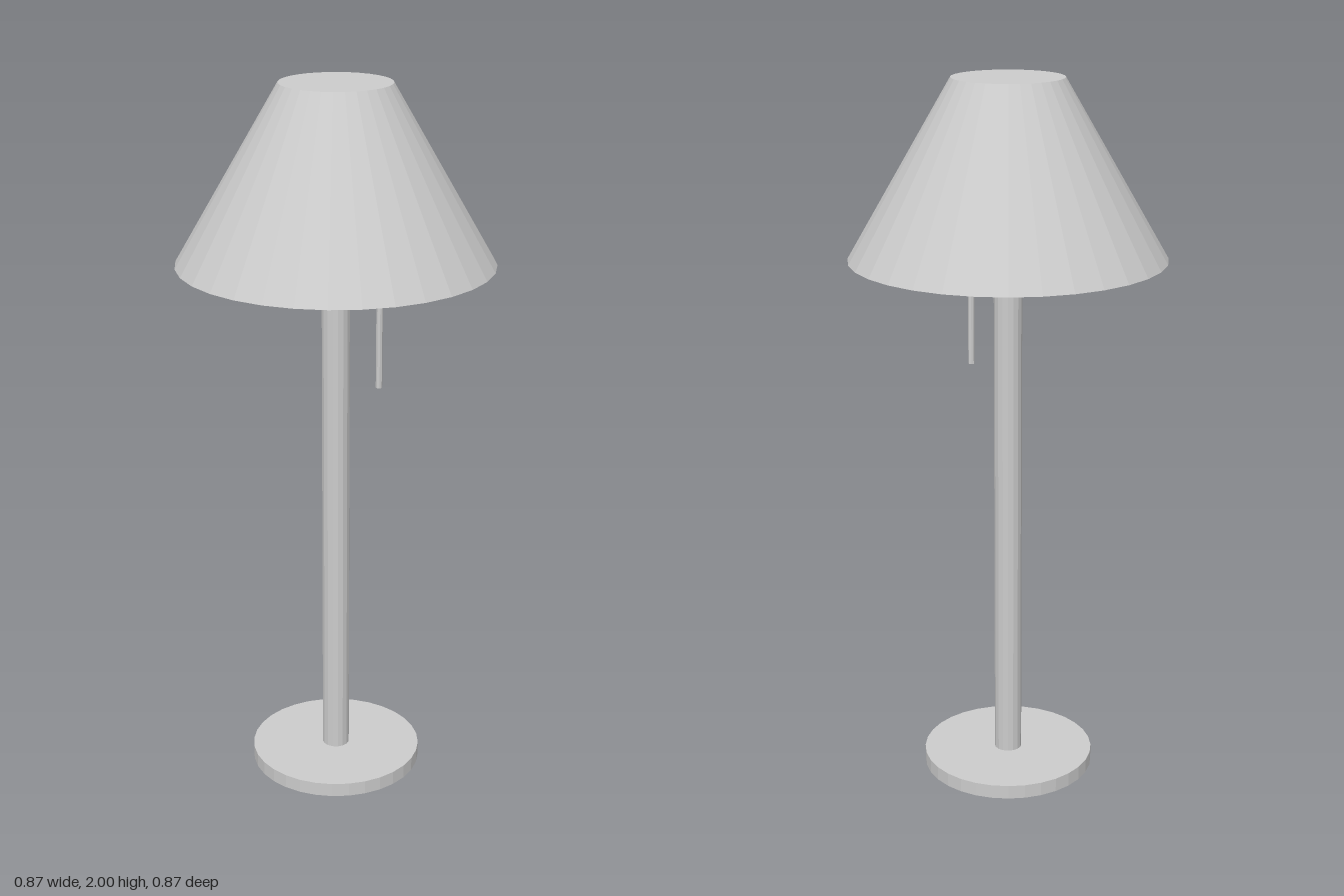
import * as THREE from 'three';

const material = new THREE.MeshStandardMaterial({ color: 0xcccccc, flatShading: true });

// Capped round part standing between two heights
function roundPart(name, topRadius, bottomRadius, bottom, top, sides, z = 0) {
  const geometry = new THREE.CylinderGeometry(topRadius, bottomRadius, top - bottom, sides);
  const mesh = new THREE.Mesh(geometry, material);
  mesh.name = name;
  mesh.position.set(0, (bottom + top) / 2, z);
  return mesh;
}

export function createModel() {
  const lamp = new THREE.Group();
  lamp.name = 'tableLamp';
  const shadeBottom = 1.515;

  lamp.add(
    roundPart('base', 0.245, 0.245, 0, 0.04, 32),
    roundPart('pole', 0.039, 0.039, 0.04, shadeBottom, 16),
    roundPart('shade', 0.152, 0.434, shadeBottom, 2, 32),
    // Pull cord hanging in front of the pole
    roundPart('pullCord', 0.009, 0.009, 1.19, shadeBottom, 8, 0.145)
  );
  return lamp;
}
